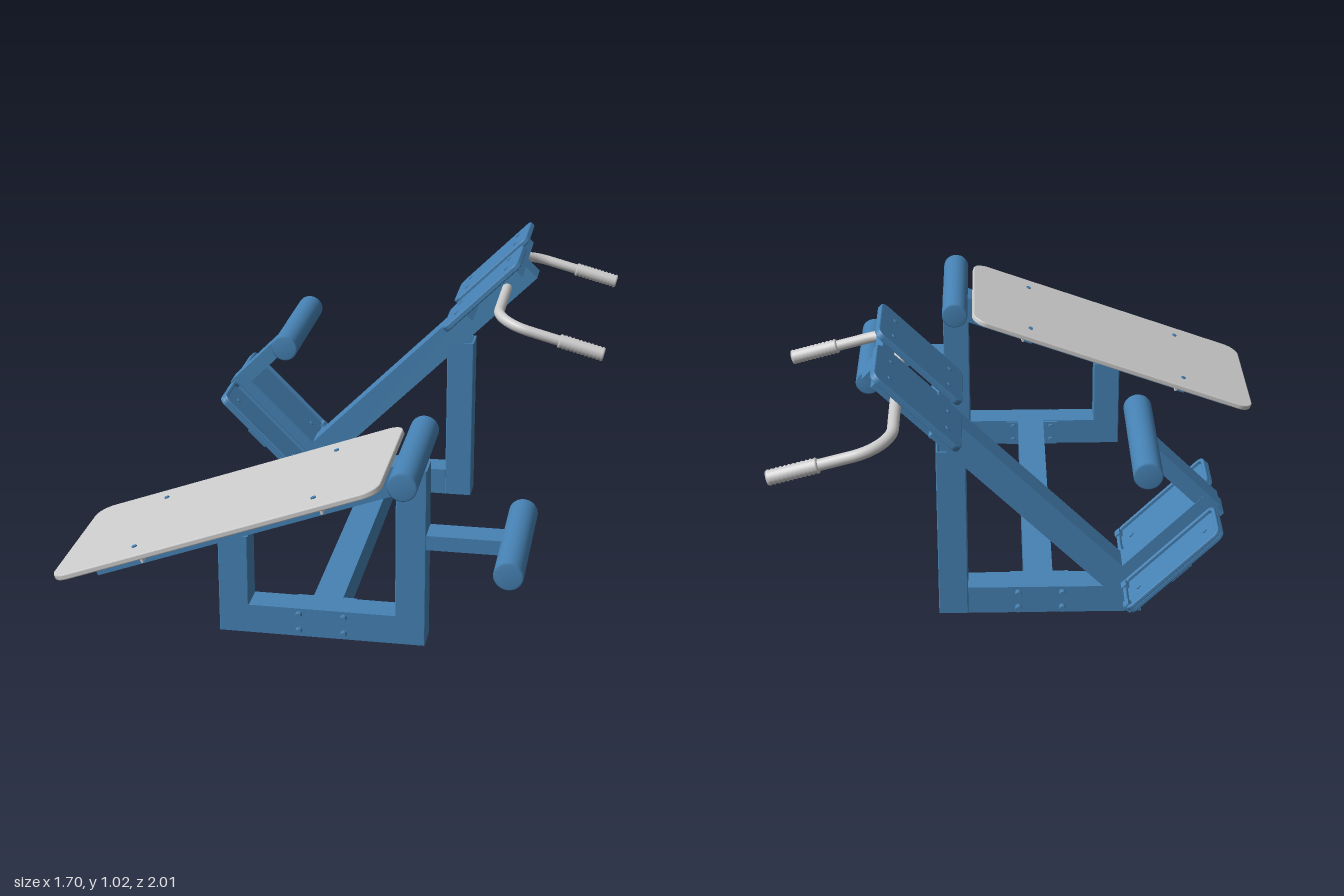
import * as THREE from 'three';

const blue = new THREE.MeshStandardMaterial({ color: 0x4682b4 });
const grey = new THREE.MeshStandardMaterial({ color: 0xcccccc });
const FRONT = 0.717, REAR = -0.54; // z of the two frames

function add(parent, name, geometry, material, x = 0, y = 0, z = 0) {
  const mesh = new THREE.Mesh(geometry, material);
  mesh.name = name;
  mesh.position.set(x, y, z);
  parent.add(mesh);
  return mesh;
}

function box(parent, name, w, h, d, x, y, z, material = blue) {
  return add(parent, name, new THREE.BoxGeometry(w, h, d), material, x, y, z);
}

// straight beam between two points of the xy plane
function bar(parent, name, a, b, thick, depth, z) {
  const dx = b[0] - a[0], dy = b[1] - a[1];
  const m = box(parent, name, Math.hypot(dx, dy), thick, depth, (a[0] + b[0]) / 2, (a[1] + b[1]) / 2, z);
  m.rotation.z = Math.atan2(dy, dx);
}

function roundedRect(Type, w, h, r) {
  const s = new Type(), x = w / 2, y = h / 2;
  s.moveTo(-x + r, -y).lineTo(x - r, -y).absarc(x - r, -y + r, r, -Math.PI / 2, 0);
  s.lineTo(x, y - r).absarc(x - r, y - r, r, 0, Math.PI / 2);
  s.lineTo(-x + r, y).absarc(-x + r, y - r, r, Math.PI / 2, Math.PI);
  s.lineTo(-x, -y + r).absarc(-x + r, -y + r, r, Math.PI, Math.PI * 1.5);
  return s;
}

// rounded plate lying flat, from y = 0 to y = thick; a rim width makes it a frame
function plate(w, d, r, thick, rim = 0) {
  const shape = roundedRect(THREE.Shape, w, d, r);
  if (rim) shape.holes.push(roundedRect(THREE.Path, w - 2 * rim, d - 2 * rim, r * 0.6));
  const bevel = 0.004;
  const geo = new THREE.ExtrudeGeometry(shape, {
    depth: thick - 2 * bevel, bevelThickness: bevel, bevelSize: bevel, bevelOffset: -bevel,
    bevelSegments: 2, curveSegments: 8,
  });
  return geo.translate(0, 0, bevel).rotateX(-Math.PI / 2);
}

// upright square tube, open at the bottom
function post(parent, name, x, z, height) {
  const shape = roundedRect(THREE.Shape, 0.1, 0.1, 0.004);
  shape.holes.push(roundedRect(THREE.Path, 0.086, 0.086, 0.003));
  const geo = new THREE.ExtrudeGeometry(shape, { depth: height, bevelEnabled: false, curveSegments: 2 });
  add(parent, name, geo.rotateX(-Math.PI / 2), blue, x, 0, z);
}

// padded roller along z, with softened ends
function roller(parent, name, x, y, z, length) {
  const r = 0.048, h = length / 2, e = 0.006;
  const pts = [[0, -h], [r - e, -h], [r, -h + e], [r, h - e], [r - e, h], [0, h]];
  const geo = new THREE.LatheGeometry(pts.map(p => new THREE.Vector2(...p)), 32);
  add(parent, name, geo.rotateX(Math.PI / 2), blue, x, y, z);
}

// group whose local x runs along a slope
function slope(parent, name, x, y, z, degrees) {
  const g = new THREE.Group();
  g.name = name;
  g.position.set(x, y, z);
  g.rotation.z = THREE.MathUtils.degToRad(degrees);
  parent.add(g);
  return g;
}

function screw(parent, x, y, z) {
  add(parent, 'screw', new THREE.CylinderGeometry(0.009, 0.009, 0.006, 12), blue, x, y, z);
}

function baseBolts(parent, z) {
  for (const x of [-0.08, 0.07]) for (const y of [0.022, 0.08]) {
    const geo = new THREE.CylinderGeometry(0.011, 0.011, 0.14, 12).rotateX(Math.PI / 2);
    add(parent, 'baseBolt', geo, blue, x, y, z);
  }
}

function buildBench(root) {
  const g = new THREE.Group();
  g.name = 'benchFrame';
  root.add(g);
  post(g, 'tallPost', 0.29, FRONT, 0.62);
  post(g, 'shortPost', -0.3, FRONT, 0.345);
  box(g, 'baseBar', 0.5, 0.1, 0.1, -0.005, 0.05, FRONT);
  baseBolts(g, FRONT);
  bar(g, 'benchBeam', [-0.78, 0.21], [0.27, 0.592], 0.096, 0.1, FRONT);

  // board with its cross brackets
  const s = slope(g, 'benchBoard', -0.31, 0.433, FRONT, 20);
  add(s, 'board', plate(1.142, 0.565, 0.06, 0.02), grey);
  for (const x of [-0.287, 0.34]) {
    box(s, 'bracketStrip', 0.04, 0.008, 0.455, x, -0.004, 0, grey);
    box(s, 'bracketFlange', 0.008, 0.03, 0.455, x + 0.016, -0.016, 0, grey);
    for (const z of [-0.2, 0.2]) {
      screw(s, x, 0.021, z);
      box(s, 'bracketFoot', 0.035, 0.034, 0.03, x - 0.006, -0.02, z * 0.95);
    }
  }

  // leg rollers
  roller(g, 'upperRoller', 0.29, 0.645, FRONT, 0.507);
  box(g, 'rollerArm', 0.27, 0.05, 0.096, 0.465, 0.37, FRONT);
  roller(g, 'lowerRoller', 0.625, 0.37, FRONT, 0.507);
}

function buildHandles(g) {
  const dir = new THREE.Vector3(0.966, -0.259, 0); // forward and slightly down
  for (const side of [-1, 1]) {
    const start = new THREE.Vector3(0.46, 0.845, REAR);
    const at = (out, along) => start.clone().addScaledVector(dir, along).add(new THREE.Vector3(0, 0, side * out));
    const path = new THREE.CurvePath();
    path.add(new THREE.LineCurve3(at(0, 0), at(0.32, 0)));
    path.add(new THREE.CubicBezierCurve3(at(0.32, 0), at(0.388, 0), at(0.44, 0.055), at(0.44, 0.125)));
    path.add(new THREE.LineCurve3(at(0.44, 0.125), at(0.44, 0.39)));
    add(g, 'handle', new THREE.TubeGeometry(path, 60, 0.019, 16), grey);

    // ribbed grip
    const pts = [new THREE.Vector2(0, 0)], n = 24, len = 0.165;
    for (let i = 0; i <= n; i++) pts.push(new THREE.Vector2(i % 2 ? 0.026 : 0.0225, (len * i) / n));
    pts.push(new THREE.Vector2(0, len));
    const grip = add(g, 'handleGrip', new THREE.LatheGeometry(pts, 20), grey);
    grip.position.copy(at(0.44, 0.232));
    grip.quaternion.setFromUnitVectors(new THREE.Vector3(0, 1, 0), dir);
  }
}

function buildPress(root) {
  const g = new THREE.Group();
  g.name = 'pressFrame';
  root.add(g);
  post(g, 'pressPost', 0.29, REAR, 0.62);
  box(g, 'pressBase', 0.59, 0.1, 0.1, -0.055, 0.05, REAR);
  baseBolts(g, REAR);
  bar(g, 'backBeam', [-0.3, 0.09], [0.535, 0.925], 0.1, 0.1, REAR);
  bar(g, 'footBeam', [-0.585, 0.413], [-0.25, 0.078], 0.096, 0.1, REAR);

  // back pads on cross brackets
  const back = slope(g, 'backPads', 0.397, 0.868, REAR, 45);
  for (const side of [-1, 1]) {
    add(back, 'backPad', plate(0.378, 0.246, 0.03, 0.022), blue, 0, 0, side * 0.165);
    for (const x of [-0.125, 0.125]) for (const z of [0.1, 0.22]) screw(back, x, 0.022, side * z);
  }
  for (const x of [-0.125, 0.125]) {
    box(back, 'padBracketStrip', 0.05, 0.008, 0.46, x, -0.004, 0);
    box(back, 'padBracketFlange', 0.008, 0.04, 0.46, x + 0.02, -0.02, 0);
  }

  // foot plates with raised rims, either side of the foot beam
  const foot = slope(g, 'footPlates', -0.436, 0.276, REAR, -45);
  for (const side of [-1, 1]) {
    const z = side * 0.173;
    add(foot, 'footPlate', plate(0.42, 0.182, 0.03, 0.018), blue, 0, -0.018, z);
    add(foot, 'footPlateRim', plate(0.42, 0.182, 0.03, 0.016, 0.014), blue, 0, -0.004, z);
    for (const x of [-0.15, 0.15]) screw(foot, x, 0.001, z);
    for (const dz of [-0.06, 0.06]) box(foot, 'heelStop', 0.022, 0.03, 0.035, 0.2, 0.002, z + dz);
  }
  box(foot, 'footCrossbar', 0.09, 0.03, 0.42, 0, -0.032, 0);

  // shin roller
  bar(g, 'shinRollerArm', [-0.585, 0.39], [-0.345, 0.63], 0.055, 0.096, REAR);
  roller(g, 'shinRoller', -0.345, 0.63, REAR, 0.51);
  buildHandles(g);
}

export function createModel() {
  const root = new THREE.Group();
  root.name = 'exerciseBench';
  buildBench(root);
  buildPress(root);

  // connecting beam with end flanges
  box(root, 'connectingBeam', 0.1, 0.1, 1.16, 0, 0.05, 0.09);
  for (const z of [0.662, -0.485]) box(root, 'endFlange', 0.2, 0.096, 0.01, -0.004, 0.05, z);
  return root;
}
